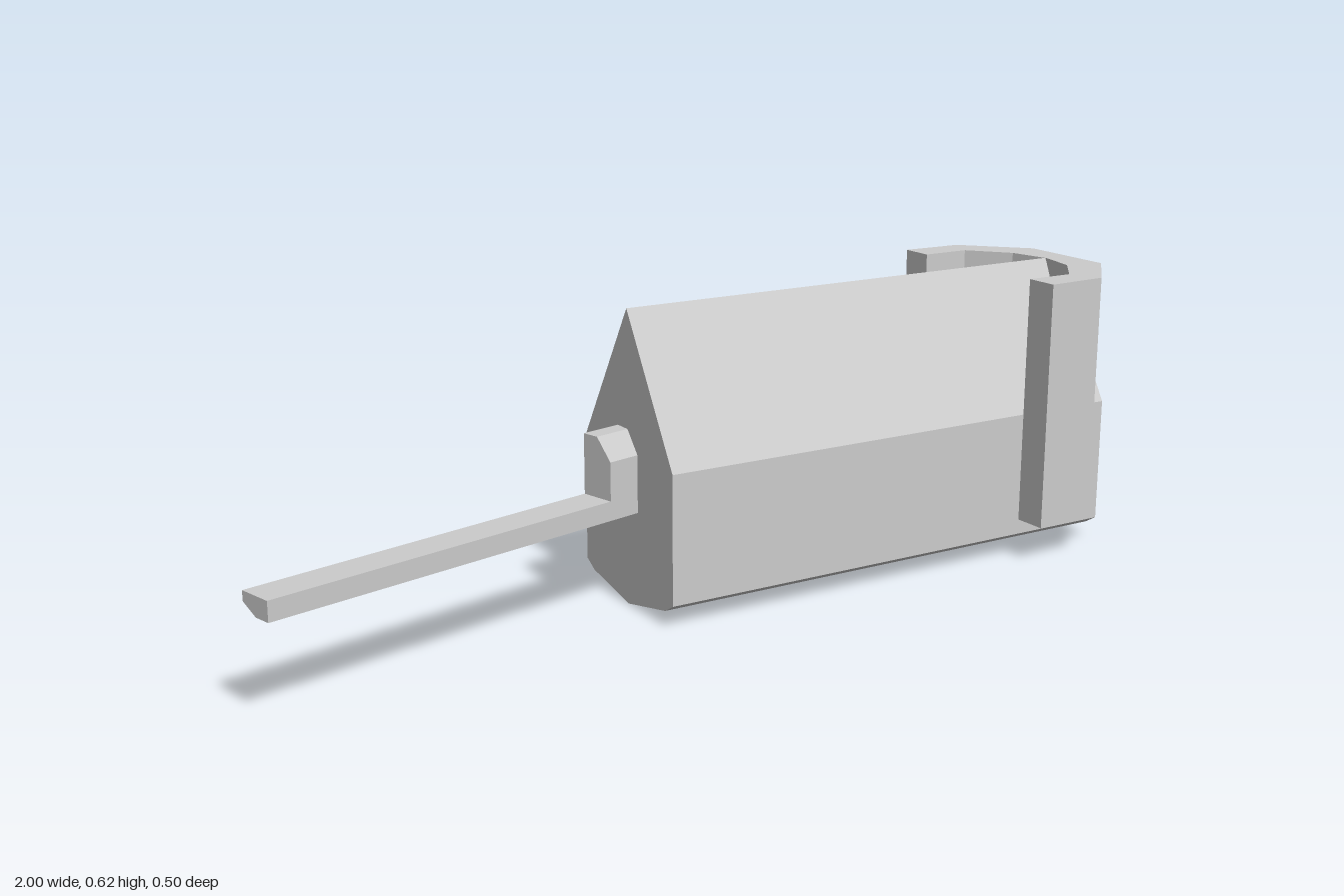
import * as THREE from 'three';

const material = new THREE.MeshStandardMaterial({
  color: 0xcccccc, flatShading: true, side: THREE.DoubleSide,
});

const points = (list) => list.map(([a, b]) => new THREE.Vector2(a, b));

// Repeats a half outline on the other side of the centre line
const mirrorZ = (half) => [...half, ...half.map(([z, y]) => [-z, y]).reverse()];

function extrude(outline, depth, hole) {
  const shape = new THREE.Shape(points(outline));
  if (hole) shape.holes.push(new THREE.Path(points(hole)));
  return new THREE.ExtrudeGeometry(shape, { depth, bevelEnabled: false });
}

// Runs a (z, y) cross-section along x
function alongX(name, section, x0, x1) {
  const geometry = extrude(section.map(([z, y]) => [-z, y]), x1 - x0);
  geometry.rotateY(Math.PI / 2).translate(x0, 0, 0);
  return named(name, geometry);
}

// Raises an (x, z) plan from y0 to y1
function upright(name, plan, y0, y1) {
  const geometry = extrude(plan.map(([x, z]) => [x, -z]), y1 - y0);
  geometry.rotateX(-Math.PI / 2).translate(0, y0, 0);
  return named(name, geometry);
}

function named(name, geometry) {
  const mesh = new THREE.Mesh(geometry, material);
  mesh.name = name;
  return mesh;
}

export function createModel() {
  const model = new THREE.Group();
  model.name = 'model';

  // Gabled housing: thin walls and roof, open below and at the +x end
  const housing = new THREE.Group();
  housing.name = 'housing';
  housing.position.z = -0.003;
  const shell = mirrorZ([
    [0, 0.55], [0.145, 0.3], [0.145, 0.03], [0.175, 0.048], [0.175, 0.318], [0, 0.615],
  ]);
  // Each half is its own closed section, meeting at the ridge
  housing.add(alongX('leftShell', shell.slice(0, 6), -0.14, 0.97));
  housing.add(alongX('rightShell', shell.slice(6), -0.14, 0.97));

  // Closed gable end with a pointed lower edge
  housing.add(alongX('endWall', [
    [0, 0], [0.145, 0.03], [0.175, 0.048], [0.175, 0.318], [0, 0.615],
    [-0.175, 0.318], [-0.175, 0.048], [-0.145, 0.03],
  ], -0.14, -0.11));

  // Recessed floor with a small pin beneath
  housing.add(alongX('floor', [
    [-0.145, 0.055], [0.145, 0.055], [0.145, 0.08], [-0.145, 0.08],
  ], -0.11, 0.86));
  const pin = named('floorPin', new THREE.BoxGeometry(0.01, 0.016, 0.01));
  pin.position.set(0.46, 0.048, 0.003);
  housing.add(pin);
  model.add(housing);

  // Faceted guard wrapped around the open end
  model.add(upright('endGuard', [
    [0.74, -0.248], [0.88, -0.242], [1, -0.112], [1, 0.112], [0.88, 0.242], [0.74, 0.248],
    [0.74, 0.175], [0.85, 0.175], [0.92, 0.09], [0.94, 0], [0.92, -0.09],
    [0.85, -0.175], [0.74, -0.175],
  ], 0.082, 0.615));

  // Angled handle: a flat rod below a chamfered block
  const handle = new THREE.Group();
  handle.name = 'handle';
  handle.position.set(-0.13, 0, -0.005);
  handle.rotation.y = 0.242;
  handle.add(alongX('handleRod', [
    [-0.038, 0.245], [-0.038, 0.225], [0, 0.205], [0.038, 0.205], [0.038, 0.245],
  ], -0.887, 0));
  handle.add(alongX('handleBlock', [
    [-0.038, 0.235], [0.038, 0.235], [0.038, 0.325], [0, 0.37], [-0.038, 0.37],
  ], -0.093, 0));
  model.add(handle);

  return model;
}
